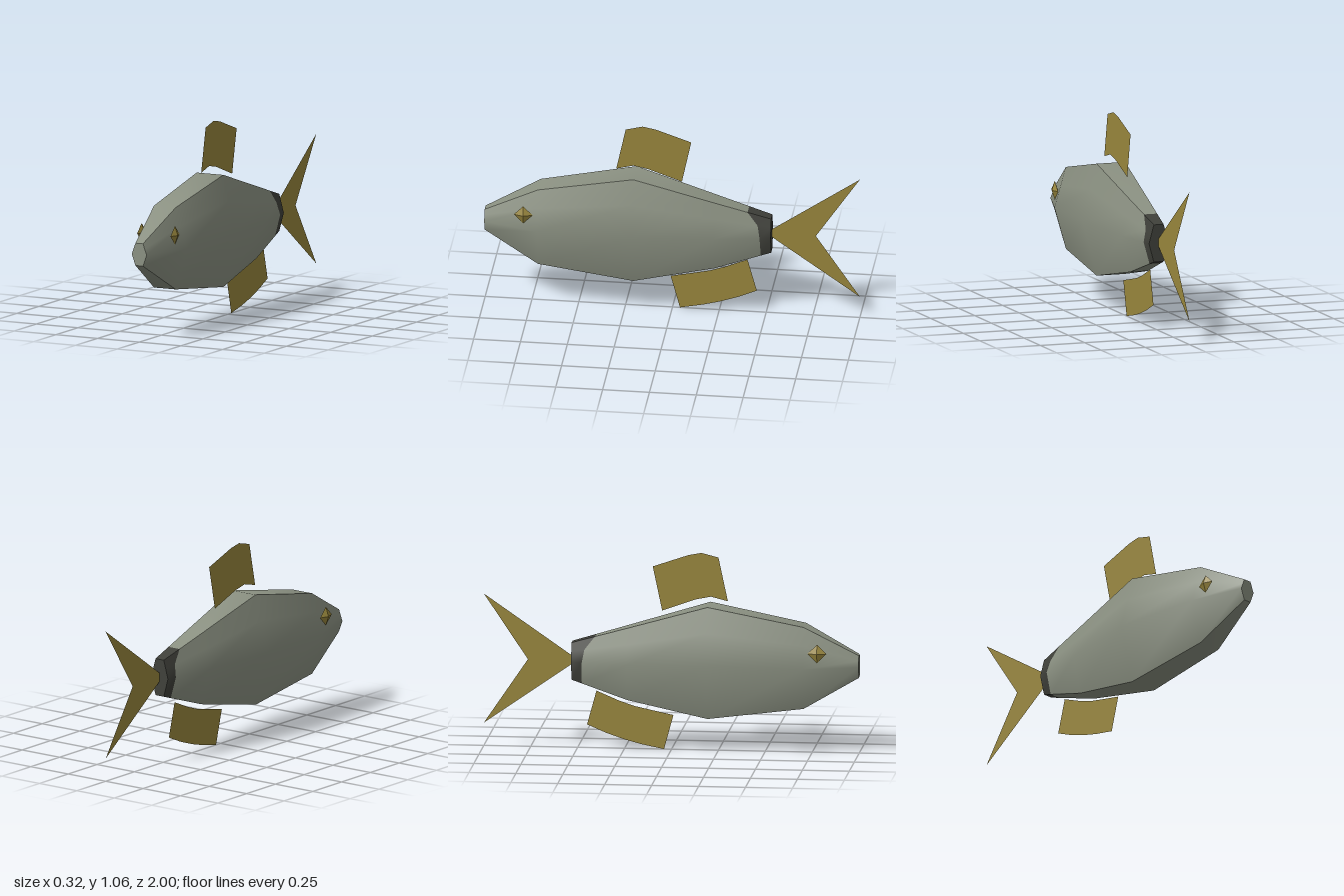
import * as THREE from 'three';
import { toCreasedNormals } from 'three/addons/utils/BufferGeometryUtils.js';

// Body stations, nose to tail: z, top y, middle y, bottom y, half width at middle
const stations = [
  [1.0, 0.53, 0.47, 0.41, 0.045],
  [0.71, 0.685, 0.47, 0.245, 0.13],
  [0.2, 0.785, 0.483, 0.183, 0.16],
  [-0.23, 0.658, 0.467, 0.27, 0.1],
  [-0.53, 0.57, 0.47, 0.37, 0.055],
];

// Eight points round a six-sided section (one extra on each upper flank)
function ring([z, top, mid, bottom, w]) {
  const n = w / 2, f = 0.45;
  const uy = top + (mid - top) * f, ux = n + (w - n) * f;
  return [
    [n, top], [-n, top], [-ux, uy], [-w, mid],
    [-n, bottom], [n, bottom], [w, mid], [ux, uy],
  ].map(([x, y]) => new THREE.Vector3(x, y, z));
}

// Skin over a list of rings, with optional flat end caps
function loft(rings, capFront, capBack) {
  const pos = [];
  const tri = (...pts) => pts.forEach((p) => pos.push(p.x, p.y, p.z));
  const n = rings[0].length;
  for (let i = 0; i < rings.length - 1; i++) {
    for (let j = 0; j < n; j++) {
      const k = (j + 1) % n;
      const a = rings[i][j], b = rings[i][k], c = rings[i + 1][k], d = rings[i + 1][j];
      tri(a, d, c);
      tri(a, c, b);
    }
  }
  const first = rings[0], last = rings[rings.length - 1];
  for (let j = 1; j < n - 1; j++) {
    if (capFront) tri(first[0], first[j], first[j + 1]);
    if (capBack) tri(last[0], last[j + 1], last[j]);
  }
  const geo = new THREE.BufferGeometry();
  geo.setAttribute('position', new THREE.Float32BufferAttribute(pos, 3));
  return toCreasedNormals(geo, 0.75);
}

// Flat fin in the middle plane, outline given as [z, y]
function finGeometry(points) {
  const shape = new THREE.Shape(points.map(([z, y]) => new THREE.Vector2(z, y)));
  return new THREE.ShapeGeometry(shape).rotateY(-Math.PI / 2);
}

export function createModel() {
  const group = new THREE.Group();
  const material = (name, color, side = THREE.FrontSide) => {
    const m = new THREE.MeshStandardMaterial({ color, side });
    m.name = name;
    return m;
  };
  const scales = material('greyGreen', 0x8b9182);
  const dark = material('darkGrey', 0x3f403a);
  const gold = material('gold', 0x99873d, THREE.DoubleSide);
  const add = (name, geo, mat) => {
    const mesh = new THREE.Mesh(geo, mat);
    mesh.name = name;
    group.add(mesh);
    return mesh;
  };

  // Body, and the dark tail root that begins further forward along the back
  const rings = stations.map(ring);
  const seamZ = [-0.405, -0.405, -0.46, -0.472, -0.475, -0.475, -0.472, -0.46];
  const seam = rings[3].map((p, j) =>
    p.clone().lerp(rings[4][j], (p.z - seamZ[j]) / (p.z - rings[4][j].z)));
  add('body', loft([...rings.slice(0, 4), seam], true, false), scales);
  add('tailRoot', loft([seam, rings[4]], false, true), dark);

  // Fins
  add('dorsalFin', finGeometry([
    [0.3, 0.805], [0.25, 1.04], [0.16, 1.063], [0.09, 1.05], [-0.1, 0.985],
    [-0.05, 0.748], [0.13, 0.812], [0.21, 0.828],
  ]), gold);
  add('analFin', finGeometry([
    [0.01, 0.185], [-0.04, 0.0], [-0.16, 0.024], [-0.25, 0.048], [-0.35, 0.082],
    [-0.45, 0.125], [-0.4, 0.308], [-0.28, 0.257], [-0.2, 0.23], [-0.1, 0.208],
  ]), gold);
  add('tailFin', finGeometry([
    [-0.53, 0.495], [-1, 0.82], [-0.765, 0.47], [-1, 0.123], [-0.53, 0.45],
  ]), gold);

  // Diamond eyes
  for (const side of [1, -1]) {
    const eye = add(side > 0 ? 'leftEye' : 'rightEye', new THREE.OctahedronGeometry(0.05), gold);
    eye.scale.x = 0.35;
    eye.position.set(side * 0.1, 0.55, 0.785);
  }
  return group;
}
